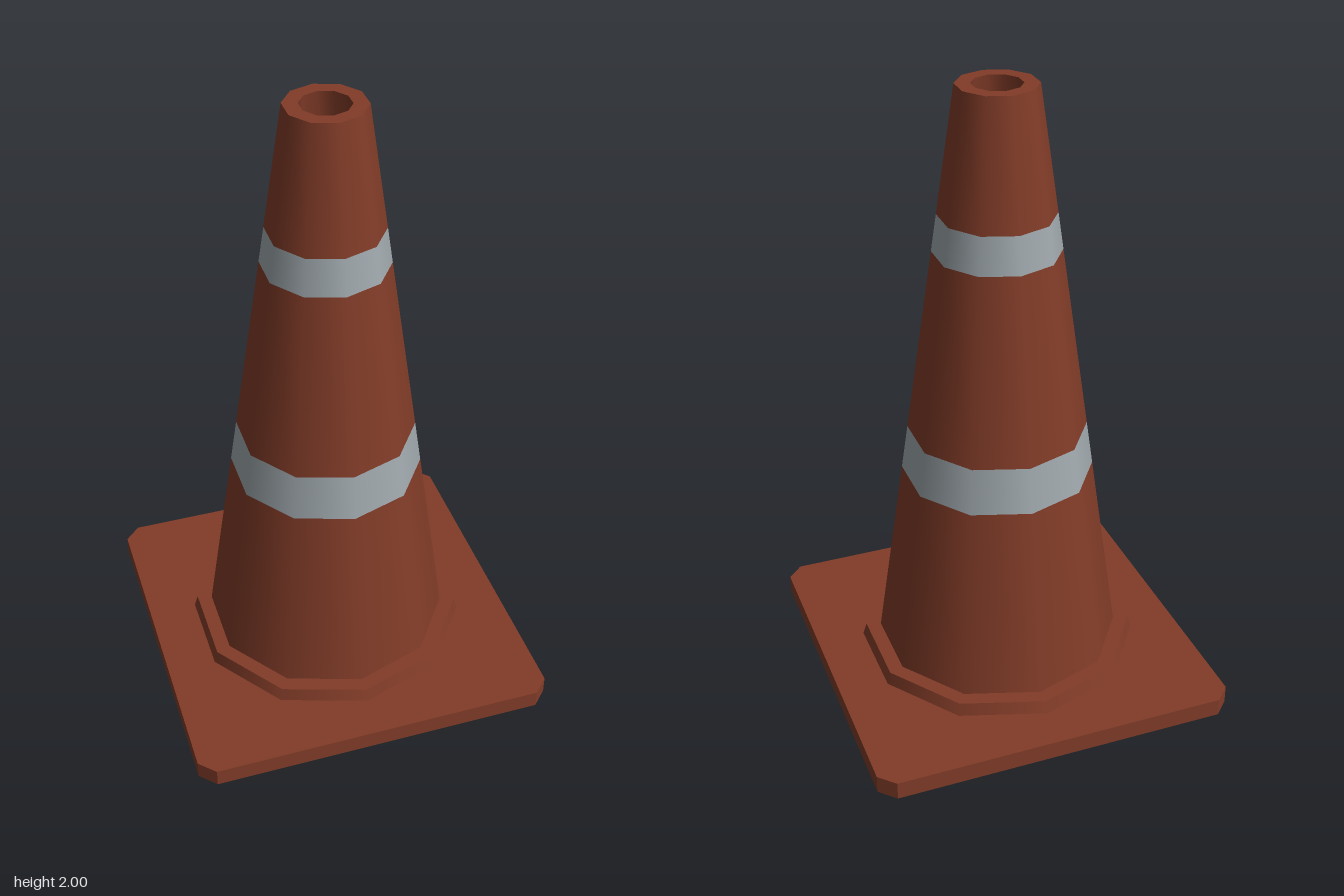
import * as THREE from 'three';

const SIDES = 10;
const SEAM = THREE.MathUtils.degToRad(216); // vertical seam at the back

export function createModel() {
  const orange = new THREE.MeshStandardMaterial({ color: 0x823c28 });
  orange.name = 'orange rubber';
  const grey = new THREE.MeshStandardMaterial({ color: 0xa0a9ae });
  grey.name = 'reflective grey';

  const model = new THREE.Group();
  model.name = 'trafficCone';

  function add(name, geometry, material) {
    const mesh = new THREE.Mesh(geometry, material);
    mesh.name = name;
    model.add(mesh);
    return mesh;
  }

  // One ten-sided band between two [radius, height] points
  function band(name, from, to, material = orange) {
    const points = [from, to].map(([r, y]) => new THREE.Vector2(r, y));
    add(name, new THREE.LatheGeometry(points, SIDES, SEAM), material);
  }

  // Square base plate with cut corners and a ten-sided opening
  const h = 0.594, c = 0.544, thickness = 0.06;
  const plate = new THREE.Shape([
    [c, -h], [h, -c], [h, c], [c, h], [-c, h], [-h, c], [-h, -c], [-c, -h],
  ].map(([x, y]) => new THREE.Vector2(x, y)));
  const opening = [];
  for (let i = 0; i < SIDES; i++) {
    const a = (i / SIDES) * Math.PI * 2;
    opening.push(new THREE.Vector2(0.415 * Math.sin(a), 0.415 * Math.cos(a)));
  }
  plate.holes.push(new THREE.Path(opening));
  const plateGeometry = new THREE.ExtrudeGeometry(plate, { depth: thickness, bevelEnabled: false });
  plateGeometry.rotateX(-Math.PI / 2);
  add('basePlate', plateGeometry, orange);

  // Closed, slightly recessed underside and the floor inside the cone
  band('underside', [0, 0.012], [0.415, 0.012]);
  band('innerFloor', [0.415, 0.014], [0, 0.014]);

  // Raised collar around the foot
  band('collarSide', [0.459, thickness], [0.447, 0.1]);
  band('collarTop', [0.447, 0.1], [0.39, 0.1]);

  // Tapered body, cut into orange and reflective bands
  const radiusAt = (y) => 0.398 + (0.124 - 0.398) * (y - 0.1) / 1.9;
  const levels = [0.1, 0.73, 0.88, 1.484, 1.603, 2];
  for (let i = 0; i < levels.length - 1; i++) {
    const [low, high] = [levels[i], levels[i + 1]];
    const striped = i % 2 === 1;
    band(striped ? 'reflectiveStripe' : 'coneBody',
      [radiusAt(low), low], [radiusAt(high), high], striped ? grey : orange);
  }

  // Rim and hollow inside
  band('topRim', [radiusAt(2), 2], [0.077, 2]);
  band('innerWall', [0.077, 2], [0.36, 0.014]);

  model.rotation.y = THREE.MathUtils.degToRad(-6.85);
  const root = new THREE.Group();
  root.name = 'cone';
  root.add(model);
  return root;
}
